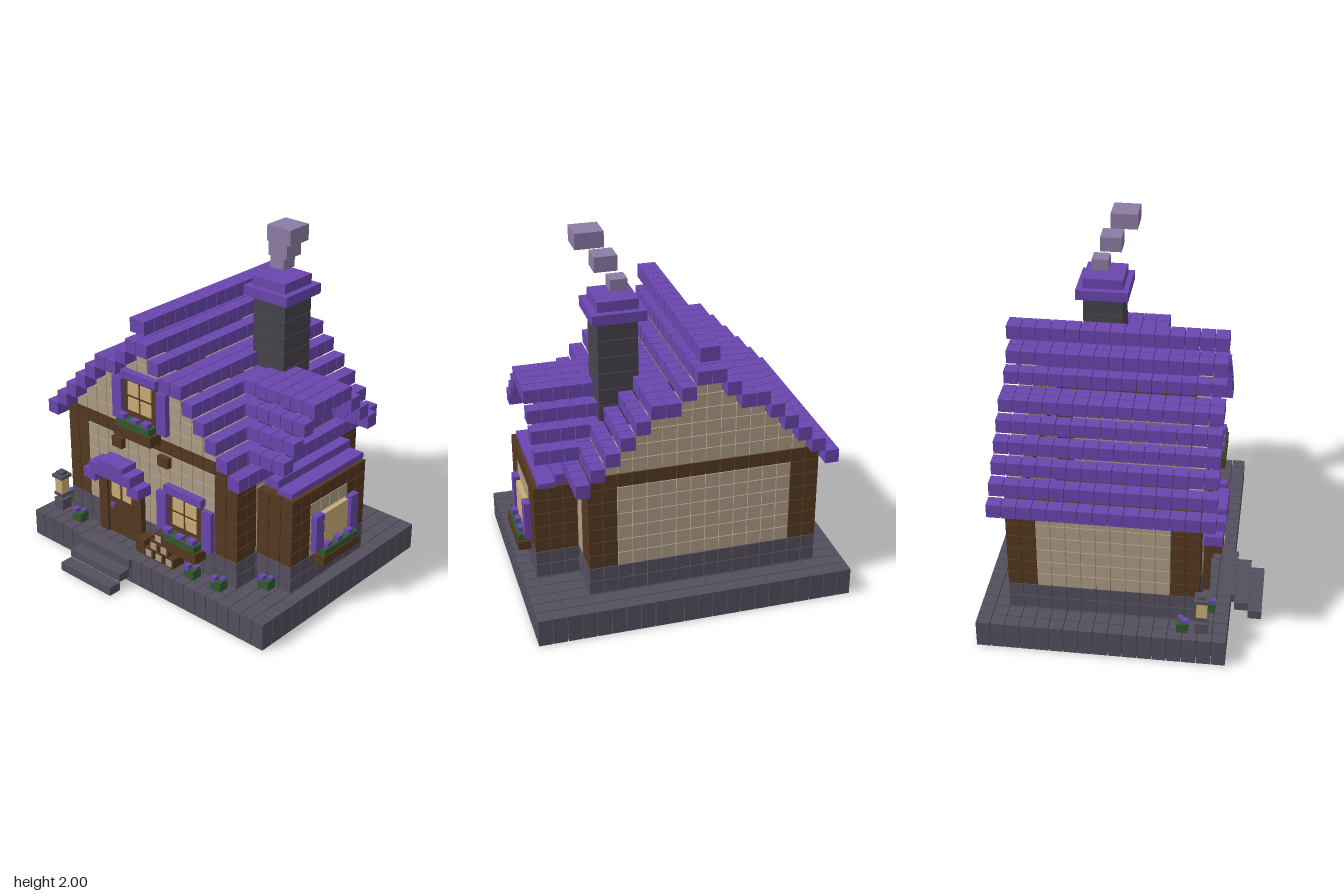
import * as THREE from 'three';
import { mergeGeometries } from 'three/addons/utils/BufferGeometryUtils.js';

const P = 0.078;    // block pitch
const GAP = 0.004;  // seam between blocks

const mat = (name, color) => {
  const m = new THREE.MeshStandardMaterial({ color });
  m.name = name;
  return m;
};

export function createModel() {
  const purple = mat('purple tile', 0x6a46ae);
  const plaster = mat('plaster', 0xae9c86);
  const timber = mat('timber', 0x543820);
  const stone = mat('stone', 0x544f5d);
  const darkStone = mat('dark stone', 0x46434c);
  const glow = mat('lamplight', 0xcaad76);
  const leaf = mat('leaf', 0x30592f);
  const smokeGrey = mat('smoke', 0x8c7ca4);

  const house = new THREE.Group();
  house.name = 'cottage';

  // One box from its min and max corners
  const boxGeo = (x0, x1, y0, y1, z0, z1) =>
    new THREE.BoxGeometry(x1 - x0, y1 - y0, z1 - z0)
      .translate((x0 + x1) / 2, (y0 + y1) / 2, (z0 + z1) / 2);

  const add = (name, material, geos) => {
    const mesh = new THREE.Mesh(geos.length > 1 ? mergeGeometries(geos) : geos[0], material);
    mesh.name = name;
    house.add(mesh);
  };
  const box = (name, material, ...b) => add(name, material, [boxGeo(...b)]);

  // A range filled with single blocks
  const blocks = (x0, x1, y0, y1, z0, z1, rows) => {
    const n = (a, b) => Math.max(1, Math.round((b - a) / P));
    const nx = n(x0, x1), ny = rows || n(y0, y1), nz = n(z0, z1), out = [], g = GAP / 2;
    const sx = (x1 - x0) / nx, sy = (y1 - y0) / ny, sz = (z1 - z0) / nz;
    for (let i = 0; i < nx; i++) for (let j = 0; j < ny; j++) for (let k = 0; k < nz; k++) {
      const x = x0 + i * sx, y = y0 + j * sy, z = z0 + k * sz;
      out.push(boxGeo(x + g, x + sx - g, y + g, y + sy - g, z + g, z + sz - g));
    }
    return out;
  };

  // Stone plinth with a hollow underside, and steps
  const BX0 = -0.86, BX1 = 0.856, BZ0 = -0.75, BZ1 = 0.576, Y0 = 0.156;
  add('plinthRim', stone, [
    ...blocks(BX0, BX1, 0, Y0, BZ1 - P, BZ1, 1),
    ...blocks(BX0, BX1, 0, Y0, BZ0, BZ0 + P, 1),
    ...blocks(BX0, BX0 + P, 0, Y0, BZ0 + P, BZ1 - P, 1),
    ...blocks(BX1 - P, BX1, 0, Y0, BZ0 + P, BZ1 - P, 1)]);
  add('plinthFloor', stone, blocks(BX0 + P, BX1 - P, P, Y0, BZ0 + P, BZ1 - P, 1));
  for (let i = 0; i < 3; i++)
    box('step', stone, -0.46, -0.075, i * 0.052, i * 0.052 + 0.05, 0.67 - i * 0.075, 0.745 - i * 0.075);

  // Main walls: foundation, corner posts, plaster, beam
  const X0 = -0.702, X1 = 0.546, Z0 = -0.594, Z1 = 0.42;
  const Y1 = 4 * P, Y2 = 10 * P, Y3 = 11 * P;
  const ring = (y0, y1) => [
    ...blocks(X0, X1, y0, y1, Z1 - P, Z1), ...blocks(X0, X1, y0, y1, Z0, Z0 + P),
    ...blocks(X0, X0 + P, y0, y1, Z0 + P, Z1 - P), ...blocks(X1 - P, X1, y0, y1, Z0 + P, Z1 - P)];
  add('foundation', stone, ring(Y0, Y1));
  add('wallBeam', timber, ring(Y2, Y3));
  const posts = [], walls = [];
  for (const z of [Z0, Z1 - P]) {
    posts.push(...blocks(X0, X0 + 2 * P, Y1, Y2, z, z + P), ...blocks(X1 - 2 * P, X1, Y1, Y2, z, z + P));
    walls.push(...blocks(X0 + 2 * P, X1 - 2 * P, Y1, Y2, z, z + P));
  }
  for (const x of [X0, X1 - P]) {
    posts.push(...blocks(x, x + P, Y1, Y2, Z0 + P, Z0 + 2 * P), ...blocks(x, x + P, Y1, Y2, Z1 - 2 * P, Z1 - P));
    walls.push(...blocks(x, x + P, Y1, Y2, Z0 + 2 * P, Z1 - 2 * P));
  }
  add('cornerPosts', timber, posts);
  add('plasterWalls', plaster, walls);

  // Stepped main roof and the gables beneath it: [cells in from the eave, width]
  const C = -0.08, H = 9 * P, RZ0 = Z0 - P, RZ1 = Z1 + P;
  const courses = [[0, 1], [1, 1], [2, 1], [3, 1], [4, 1], [5, 2], [7, 1], [8, 1]];
  const roof = [], gables = [];
  courses.forEach(([off, w], k) => {
    const y = 0.789 + k * P, outer = H - off * P, inner = outer - w * P;
    roof.push(...blocks(C - outer, C - inner, y, y + P, RZ0, RZ1));
    roof.push(...blocks(C + inner, C + outer, y, y + P, RZ0, RZ1));
    if (k > 0 && inner > 0.01) for (const z of [Z0, Z1 - P])
      gables.push(...blocks(C - inner, C + inner, Y3 + (k - 1) * P, Y3 + k * P, z, z + P));
  });
  add('mainRoof', purple, roof);
  add('gableWalls', plaster, gables);
  add('roofRidge', purple, blocks(-0.12, -0.015, 1.46, 1.54, RZ0, RZ1));

  // Side wing
  const WX = X1 + 3 * P, WZ0 = -0.36, WZ1 = 0.264, WY = 9 * P;
  const wingRing = (y0, y1) => [
    ...blocks(X1, WX, y0, y1, WZ1 - P, WZ1), ...blocks(X1, WX, y0, y1, WZ0, WZ0 + P),
    ...blocks(WX - P, WX, y0, y1, WZ0 + P, WZ1 - P)];
  add('wingFoundation', stone, wingRing(Y0, Y1));
  add('wingTimber', timber, [
    ...blocks(X1, WX, Y1, WY, WZ1 - P, WZ1), ...blocks(X1, WX, Y1, WY, WZ0, WZ0 + P),
    ...blocks(WX - P, WX, Y1, WY, WZ1 - 2 * P, WZ1 - P), ...blocks(WX - P, WX, Y1, WY, WZ0 + P, WZ0 + 2 * P),
    ...blocks(WX - P, WX, WY - P, WY, WZ0 + 2 * P, WZ1 - 2 * P)]);
  add('wingWall', plaster, blocks(WX - P, WX, Y1, WY - P, WZ0 + 2 * P, WZ1 - 2 * P));
  box('wingLowRoof', purple, 0.575, 0.665, 0.72, 0.775, -0.37, 0.24);
  box('wingLowRoof', purple, 0.66, 0.755, 0.70, 0.73, -0.37, 0.24);

  // Open cross gable above the wing
  const wingRoof = [], WC = -0.048;
  for (let j = 0; j < 4; j++) {
    const y = 0.88 + j * P, x = X1 - j * P, o = (5 - j) * P;
    wingRoof.push(...blocks(x, WX, y, y + P, WC + o - P, WC + o), ...blocks(x, WX, y, y + P, WC - o, WC - o + P));
  }
  wingRoof.push(...blocks(X1 - 3 * P, WX, 0.88 + 3 * P, 0.88 + 4 * P, WC - P, WC + P));
  add('wingRoof', purple, wingRoof);

  // Chimney and smoke
  const layers = [];
  for (let y = 0.93; y < 1.5; y += 0.09) layers.push(boxGeo(0.2, 0.41, y, y + 0.087, -0.315, -0.1));
  add('chimney', darkStone, layers);
  box('chimneyCap', purple, 0.16, 0.445, 1.57, 1.625, -0.35, -0.065);
  box('chimneyCapTop', purple, 0.195, 0.41, 1.625, 1.68, -0.315, -0.095);
  box('smokePuff', smokeGrey, 0.24, 0.33, 1.712, 1.775, -0.27, -0.18);
  box('smokePuff', smokeGrey, 0.28, 0.4, 1.805, 1.886, -0.23, -0.115);
  box('smokePuff', smokeGrey, 0.335, 0.485, 1.915, 2.0, -0.18, -0.035);

  // Front window with shutters, lintel and flower box
  const frontWindow = (cx, y) => {
    box('windowFrame', timber, cx - 0.12, cx + 0.12, y, y + 0.235, Z1, 0.435);
    for (const s of [-1, 1]) {
      for (const dy of [0.05, 0.14])
        box('windowPane', glow, cx + s * 0.046 - 0.039, cx + s * 0.046 + 0.039, y + dy, y + dy + 0.075, 0.435, 0.441);
      box('shutter', purple, cx + s * 0.162 - 0.034, cx + s * 0.162 + 0.034, y - 0.02, y + 0.22, Z1, 0.45);
    }
    box('lintel', purple, cx - 0.133, cx + 0.133, y + 0.235, y + 0.28, Z1, 0.46);
    box('flowerBox', timber, cx - 0.135, cx + 0.135, y - 0.085, y - 0.025, Z1, 0.505);
    box('boxPlants', leaf, cx - 0.12, cx + 0.12, y - 0.025, y + 0.012, 0.425, 0.5);
    [-0.09, 0, 0.085].forEach((d, i) => {
      const t = y + 0.04 + (i % 2 ? -0.01 : 0);
      box('boxFlower', purple, cx + d - 0.022, cx + d + 0.022, t - 0.03, t, 0.455, 0.495);
    });
  };
  frontWindow(-0.12, 0.92);
  frontWindow(0.195, 0.34);

  // Wing window
  box('wingPane', glow, WX, 0.805, 0.35, 0.545, -0.18, 0.02);
  box('wingShutter', purple, WX, 0.815, 0.34, 0.555, 0.035, 0.1);
  box('wingShutter', purple, WX, 0.815, 0.34, 0.555, -0.26, -0.195);
  box('wingFlowerBox', timber, WX, 0.85, 0.265, 0.315, -0.24, 0.075);
  box('wingBoxPlants', leaf, WX, 0.845, 0.315, 0.35, -0.225, 0.06);
  for (const z of [-0.17, -0.08, 0.01]) box('wingFlower', purple, 0.805, 0.838, 0.35, 0.375, z - 0.02, z + 0.02);

  // Door, frame and stepped hood
  box('door', timber, -0.375, -0.155, 0.16, 0.55, Z1, 0.44);
  box('doorJamb', timber, -0.44, -0.375, 0.16, 0.55, Z1, 0.455);
  box('doorJamb', timber, -0.155, -0.115, 0.16, 0.55, Z1, 0.455);
  for (const x of [-0.35, -0.265]) box('doorPane', glow, x, x + 0.065, 0.39, 0.48, 0.44, 0.446);
  box('doorHandle', purple, -0.355, -0.325, 0.325, 0.35, 0.44, 0.455);
  box('hoodTop', purple, -0.37, -0.18, 0.615, 0.65, Z1, 0.53);
  box('hoodMiddle', purple, -0.435, -0.12, 0.55, 0.615, Z1, 0.53);
  box('hoodEnd', purple, -0.49, -0.4, 0.495, 0.555, Z1, 0.52);
  box('hoodEnd', purple, -0.155, -0.07, 0.495, 0.555, Z1, 0.52);
  for (const x of [-0.33, 0.012]) box('beamEnd', timber, x, x + 0.075, 0.715, 0.775, Z1, 0.45);

  // Log pile and crate
  box('crate', timber, -0.115, -0.05, 0.16, 0.245, Z1, 0.5);
  for (let r = 0; r < 3; r++) for (let i = 0; i < 3 - r; i++) {
    const x = -0.04 + r * 0.037 + i * 0.075, y = 0.158 + r * 0.06;
    box('log', timber, x, x + 0.06, y, y + 0.058, Z1, 0.505);
    box('logEnd', plaster, x + 0.01, x + 0.05, y + 0.01, y + 0.048, 0.505, 0.51);
  }

  // Garden plants
  for (const [x, z] of [[-0.59, 0.47], [0.285, 0.48], [0.465, 0.47], [0.645, 0.295], [-0.77, 0.34]]) {
    box('plant', leaf, x - 0.035, x + 0.035, Y0, 0.21, z - 0.03, z + 0.03);
    box('flower', purple, x - 0.03, x, 0.2, 0.232, z, z + 0.033);
    box('flower', purple, x + 0.005, x + 0.032, 0.2, 0.222, z - 0.028, z);
  }

  // Lantern
  const lamp = (name, m, r, y0, y1) => box(name, m, -0.768 - r, -0.768 + r, y0, y1, 0.44 - r, 0.44 + r);
  lamp('lanternBase', stone, 0.034, Y0, 0.22);
  lamp('lanternPost', stone, 0.015, 0.22, 0.24);
  lamp('lanternPlate', stone, 0.034, 0.24, 0.258);
  lamp('lanternLight', glow, 0.028, 0.258, 0.355);
  lamp('lanternCap', stone, 0.04, 0.355, 0.372);
  lamp('lanternTop', stone, 0.022, 0.372, 0.39);

  return house;
}
